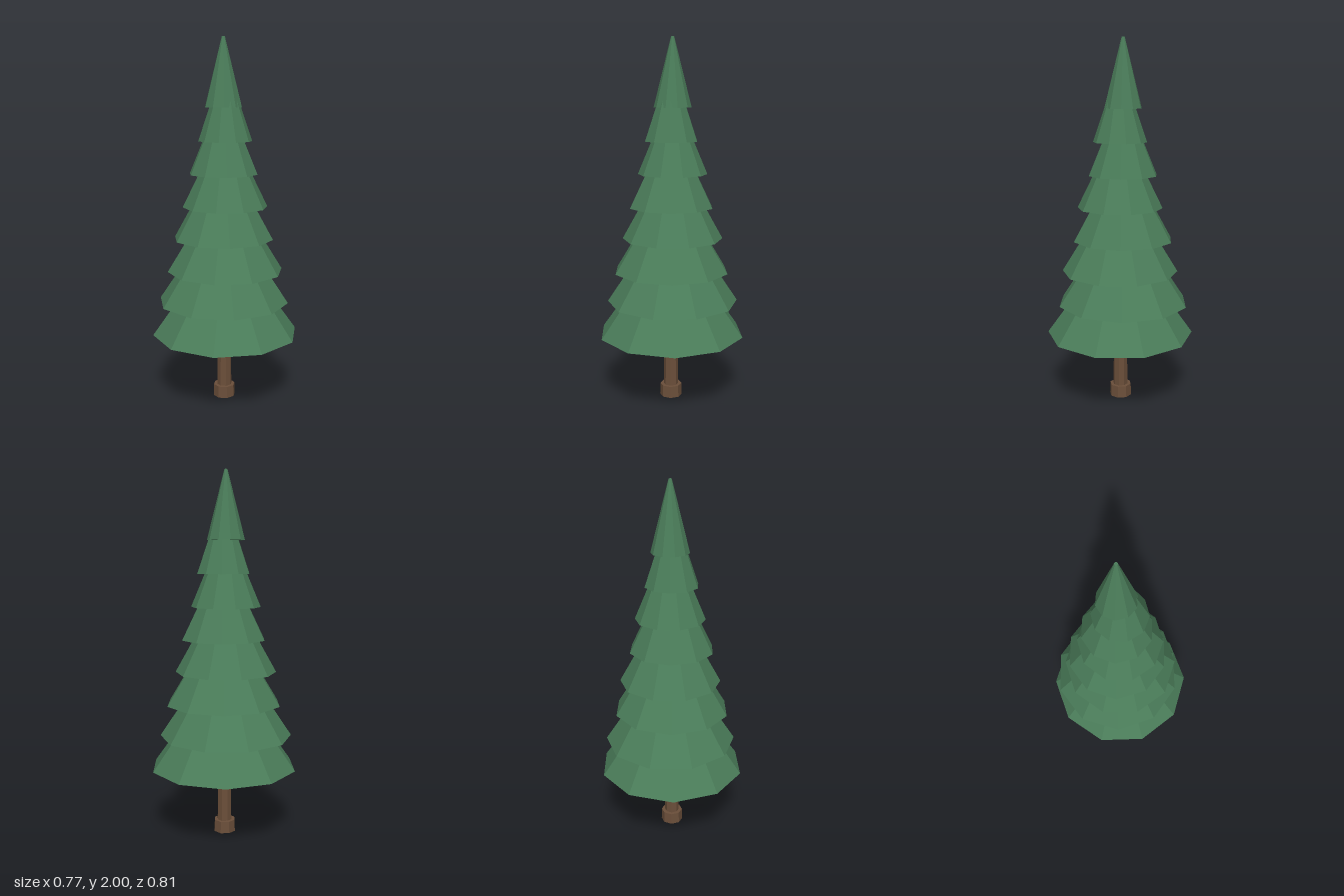
import * as THREE from 'three';

export function createModel() {
  const tree = new THREE.Group();
  tree.name = 'pineTree';
  const bark = new THREE.MeshStandardMaterial({ color: 0x6b4f3a, flatShading: true });
  const needles = new THREE.MeshStandardMaterial({ color: 0x4a7c59, flatShading: true });

  // Faceted frustum standing on height y
  function frustum(name, rTop, rBottom, height, sides, material, x, y, z, turn = 0) {
    const geometry = new THREE.CylinderGeometry(rTop, rBottom, height, sides);
    const mesh = new THREE.Mesh(geometry, material);
    mesh.name = name;
    mesh.position.set(x, y + height / 2, z);
    mesh.rotation.y = turn;
    tree.add(mesh);
  }

  // Trunk with a flared foot
  frustum('trunkFoot', 0.06, 0.062, 0.066, 8, bark, -0.006, 0, 0, Math.PI / 8);
  frustum('trunk', 0.036, 0.042, 0.5, 8, bark, -0.005, 0.02, 0, Math.PI / 8);

  // Overlapping foliage tiers, shrinking upward, each turned and every other one shifted
  const tiers = 8;
  for (let i = 0; i < tiers; i++) {
    const radius = 0.407 - 0.0435 * i;
    const y = 0.38 + 0.1786 * i;
    const height = i === tiers - 1 ? 2 - y : 0.52 - 0.021 * i;
    const shift = i % 2 ? -0.012 : 0;
    frustum('foliageTier' + (i + 1), radius * 0.08, radius, height, 10, needles, shift, y, shift, 0.3 * i);
  }
  return tree;
}
